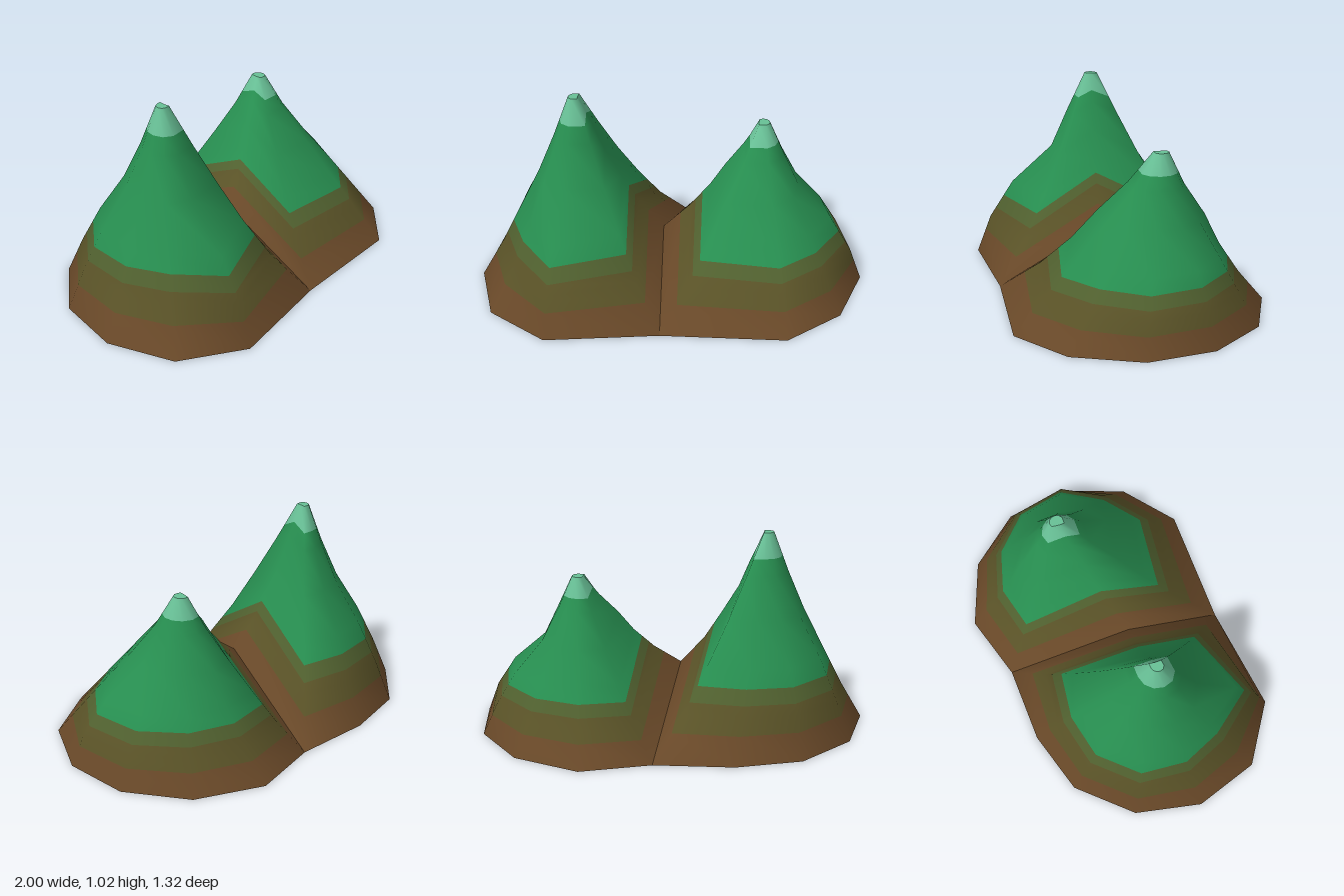
import * as THREE from 'three';

const mat = (name, color) => {
  const m = new THREE.MeshStandardMaterial({ color });
  m.name = name;
  return m;
};

// Height fractions of the contour rings, and the colour band above each ring
const FRACTIONS = [0, 0.125, 0.2, 0.25, 0.32, 0.4, 0.6, 0.8, 0.88, 1];
const BANDS = [0, 1, 1, 2, 3, 3, 3, 3, 4];

// Foot of the valley at front and back, and the saddle between the peaks
const FRONT = [-0.05, 0.61], BACK = [0.07, -0.57], SADDLE = [-0.04, 0.08];
const SADDLE_Y = 0.3;

// Outline points: x, z, shrink at fraction 0.32, shrink at 0.6, base height
const LEFT_HILL = {
  peak: [-0.485, 1.02, 0.025], tip: 0.05,
  outline: [
    [...FRONT, 0.61, 0.36], [-0.62, 0.655, 0.76, 0.34], [-0.91, 0.44, 0.61, 0.36],
    [-1, 0.1, 0.65, 0.37], [-0.91, -0.24, 0.71, 0.38], [-0.66, -0.49, 0.71, 0.38],
    [-0.33, -0.575, 0.68, 0.36], [...BACK, 0.62, 0.36], [...SADDLE, 0.6, 0.33, SADDLE_Y],
  ],
};
const RIGHT_HILL = {
  peak: [0.47, 0.815, -0.115], tip: 0.055,
  outline: [
    [...BACK, 0.65, 0.38], [0.42, -0.66, 0.63, 0.4], [0.75, -0.52, 0.67, 0.38],
    [0.96, -0.24, 0.73, 0.37], [1, 0.1, 0.76, 0.35], [0.86, 0.43, 0.68, 0.39],
    [0.58, 0.635, 0.68, 0.4], [...FRONT, 0.62, 0.38], [...SADDLE, 0.61, 0.38, SADDLE_Y],
  ],
};

// Piecewise linear slope profile: how far a ring is from the peak
function shrink(f, mid, high, tip) {
  const keys = [[0, 1], [0.2, mid + 0.12], [0.4, mid - 0.08], [0.6, high], [0.8, 0.2], [1, tip]];
  const i = Math.min(4, Math.floor(f * 5 + 1e-6));
  return THREE.MathUtils.lerp(keys[i][1], keys[i + 1][1], (f - keys[i][0]) * 5);
}

function ringPoint([x, z, mid, high, y = 0], { peak, tip }, f) {
  const s = shrink(f, mid, high, tip);
  return [peak[0] + (x - peak[0]) * s, y + (peak[1] - y) * f, peak[2] + (z - peak[2]) * s];
}

// Slopes lofted through the rings, one material group per band
function slopeGeometry(hill) {
  const n = hill.outline.length, positions = [], index = [];
  const geo = new THREE.BufferGeometry();
  for (const f of FRACTIONS) {
    for (const p of hill.outline) positions.push(...ringPoint(p, hill, f));
  }
  BANDS.forEach((band, r) => {
    geo.addGroup(index.length, n * 6, band);
    for (let j = 0; j < n; j++) {
      const a = r * n + j, b = r * n + (j + 1) % n;
      index.push(a, a + n, b + n, a, b + n, b);
    }
  });
  geo.setAttribute('position', new THREE.Float32BufferAttribute(positions, 3));
  geo.setIndex(index);
  geo.computeVertexNormals();
  return geo;
}

export function createModel() {
  const model = new THREE.Group();
  model.name = 'twinMountains';
  const materials = [
    mat('earthBrown', 0x684828), mat('olive', 0x595227), mat('moss', 0x50602f),
    mat('forestGreen', 0x278e50), mat('paleGreen', 0x68c096),
  ];
  const add = (parent, name, geo, material) => {
    const mesh = new THREE.Mesh(geo, material);
    mesh.name = name;
    parent.add(mesh);
    return mesh;
  };

  for (const [name, hill] of [['rightMountain', LEFT_HILL], ['leftMountain', RIGHT_HILL]]) {
    const group = new THREE.Group();
    group.name = name;
    add(group, 'slopes', slopeGeometry(hill), materials);
    // Small flat summit
    const rim = hill.outline.map((p) => {
      const [x, , z] = ringPoint(p, hill, 1);
      return new THREE.Vector2(x, -z);
    });
    const summit = new THREE.ShapeGeometry(new THREE.Shape(rim)).rotateX(-Math.PI / 2);
    add(group, 'summit', summit, materials[4]).position.y = hill.peak[1];
    model.add(group);
  }

  // Flat underside following both outlines
  const foot = [...LEFT_HILL.outline.slice(0, -1), ...RIGHT_HILL.outline.slice(1, -2)]
    .map(([x, z]) => new THREE.Vector2(x, z));
  add(model, 'underside', new THREE.ShapeGeometry(new THREE.Shape(foot)).rotateX(Math.PI / 2), materials[0]);
  return model;
}
